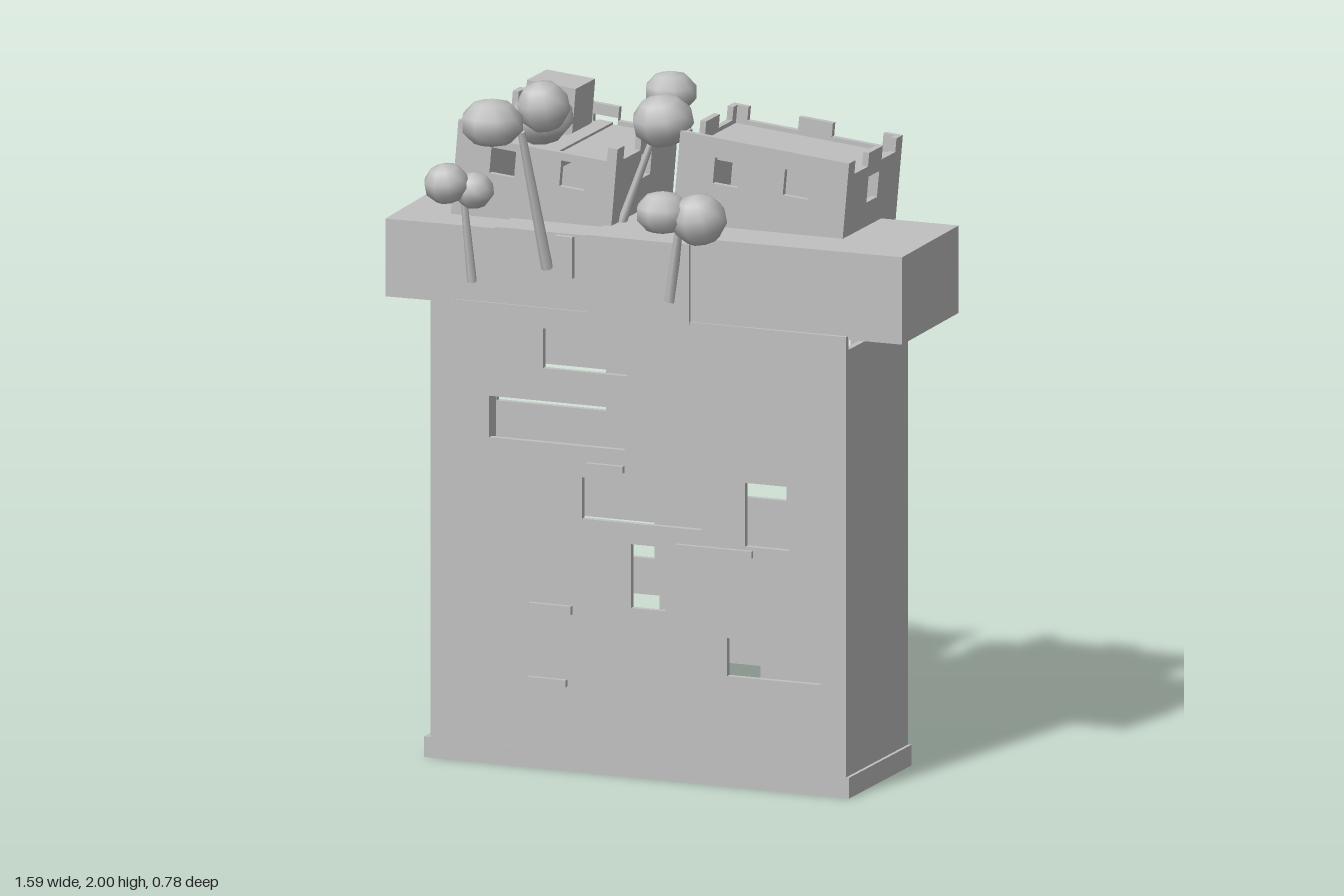
import * as THREE from 'three';
import { mergeVertices } from 'three/addons/utils/BufferGeometryUtils.js';

const stone = new THREE.MeshStandardMaterial({ color: 0xc0c0c0, side: THREE.DoubleSide });
stone.name = 'pale grey';

function add(parent, name, geometry, x = 0, y = 0, z = 0) {
  const mesh = new THREE.Mesh(geometry, stone);
  mesh.name = name;
  mesh.position.set(x, y, z);
  parent.add(mesh);
  return mesh;
}

// Box given by its limits on each axis
function block(parent, name, x0, x1, y0, y1, z0, z1) {
  return add(parent, name, new THREE.BoxGeometry(x1 - x0, y1 - y0, z1 - z0),
    (x0 + x1) / 2, (y0 + y1) / 2, (z0 + z1) / 2);
}

const rect = ([x0, x1, y0, y1]) => [[x0, y0], [x1, y0], [x1, y1], [x0, y1]];

// Upright slab with an outline and polygonal openings
function wallGeometry(outline, openings, depth) {
  const toVec = ([x, y]) => new THREE.Vector2(x, y);
  const shape = new THREE.Shape(outline.map(toVec));
  shape.holes = openings.map(o => new THREE.Path(o.map(toVec)));
  return new THREE.ExtrudeGeometry(shape, { depth, bevelEnabled: false });
}

// Wall outline with notches cut in its top edge, leaving merlons
function crenellated(w, h, notches, drop = 0.04) {
  const pts = [[-w / 2, -h / 2], [w / 2, -h / 2], [w / 2, h / 2]];
  for (const [a, b] of [...notches].reverse())
    pts.push([b * w, h / 2], [b * w, h / 2 - drop], [a * w, h / 2 - drop], [a * w, h / 2]);
  pts.push([-w / 2, h / 2]);
  return pts;
}

// Tilted roofless house: four pierced walls around a sunken roof
function house(parent, name, o) {
  const { w, d, h, t = 0.018 } = o;
  const g = new THREE.Group();
  g.name = name;
  g.position.set(...o.at);
  g.rotation.z = o.tilt;
  parent.add(g);
  const win = (x, y, s = 0.038) => rect([x - s, x + s, y - s, y + s]);
  const wins = list => list.map(([x, y]) => win(x, y));
  add(g, 'houseFrontWall', wallGeometry(crenellated(w, h, o.frontNotches), wins(o.front), t), 0, 0, d / 2 - t);
  add(g, 'houseBackWall', wallGeometry(crenellated(w, h, o.backNotches), wins(o.back), t), 0, 0, -d / 2);
  for (const s of [-1, 1]) {
    const side = add(g, 'houseSideWall',
      wallGeometry(crenellated(d - 2 * t, h, o.sideNotches), wins(o.side), t), s > 0 ? w / 2 - t : -w / 2);
    side.rotation.y = Math.PI / 2;
  }
  add(g, 'houseRoof', new THREE.BoxGeometry(w - 2 * t, 0.015, d - 2 * t), 0, h / 2 - 0.06, 0);
  add(g, 'houseFloor', new THREE.BoxGeometry(w - 2 * t, 0.015, d - 2 * t), 0, -h / 2 + 0.008, 0);
  return g;
}

// Faceted, smoothly shaded leaf ball
function leafBall(parent, [x, y, z, rx, ry], i) {
  let geo = new THREE.SphereGeometry(1, 9, 5);
  geo.deleteAttribute('uv');
  geo.deleteAttribute('normal');
  geo = mergeVertices(geo, 1e-3);
  geo.computeVertexNormals();
  const ball = add(parent, 'foliage', geo, x, y, z);
  ball.scale.set(rx, ry, rx);
  ball.rotation.set(0.12 * (i % 3), i * 0.7, 0.15 * (i % 2));
}

function tree(parent, name, from, to, radius, balls) {
  const g = new THREE.Group();
  g.name = name;
  parent.add(g);
  const a = new THREE.Vector3(...from), b = new THREE.Vector3(...to);
  const dir = b.clone().sub(a);
  const trunk = add(g, 'trunk', new THREE.CylinderGeometry(radius * 0.65, radius, dir.length(), 6));
  trunk.position.copy(a).add(b).multiplyScalar(0.5);
  trunk.quaternion.setFromUnitVectors(new THREE.Vector3(0, 1, 0), dir.normalize());
  balls.forEach((p, i) => leafBall(g, p, i));
}

export function createModel() {
  const model = new THREE.Group();
  model.name = 'towerWithRooftopVillage';

  // Hollow tower slab
  const t = 0.018, outline = rect([-0.645, 0.63, 0, 1.335]);
  const frontOpenings = [
    [-0.30, -0.04, 1.16, 1.275], [-0.465, -0.05, 0.945, 1.065], [-0.18, 0.185, 0.735, 0.855],
    [0.32, 0.455, 0.70, 0.885], [-0.03, 0.075, 0.49, 0.675], [0.265, 0.55, 0.32, 0.43],
  ].map(rect);
  const backOpenings = [
    [0.015, 0.265, 0.735, 0.855], [-0.625, -0.29, 0.945, 1.065], [-0.445, -0.14, 0.53, 0.635],
    [-0.545, -0.125, 0.32, 0.425], [0.018, 0.185, 0.09, 0.25], [0.28, 0.60, 0.09, 0.20],
  ].map(rect);
  backOpenings.push([[0.06, 1.17], [0.21, 1.17], [0.21, 1.13], [0.34, 1.13], [0.34, 1.17], [0.46, 1.17],
    [0.46, 1.265], [0.35, 1.265], [0.35, 1.295], [0.23, 1.295], [0.23, 1.265], [0.06, 1.265]]);
  add(model, 'towerFront', wallGeometry(outline, frontOpenings, t), 0, 0, 0.165 - t);
  add(model, 'towerBack', wallGeometry(outline, backOpenings, t), 0, 0, -0.28);
  block(model, 'towerRightSide', -0.645, -0.645 + t, 0, 1.295, -0.28 + t, 0.165 - t);
  block(model, 'towerLeftSide', 0.63 - t, 0.63, 0, 1.295, -0.28 + t, 0.165 - t);
  block(model, 'plinth', -0.665, 0.64, 0, 0.06, -0.281, 0.166);

  // Thin ledges on both faces
  const ledges = [
    [-0.165, -0.05, 0.88, 0.9, 1], [0.11, 0.345, 0.67, 0.69, 1], [-0.34, -0.21, 0.455, 0.48, 1],
    [-0.345, -0.225, 0.245, 0.265, 1], [-0.165, -0.05, 0.88, 0.9, -1], [0.33, 0.57, 0.67, 0.69, -1],
    [0.22, 0.345, 0.455, 0.48, -1], [-0.19, 0, 0.245, 0.265, -1],
  ];
  for (const [x0, x1, y0, y1, s] of ledges)
    block(model, 'ledge', x0, x1, y0, y1, s > 0 ? 0.16 : -0.293, s > 0 ? 0.178 : -0.275);

  // Overhanging crown of slightly turned blocks
  const leftEnd = block(model, 'crownBlock', -0.79, -0.40, 1.325, 1.55, -0.255, 0.163);
  leftEnd.rotation.y = 0.04;
  block(model, 'crownBlock', -0.45, -0.165, 1.327, 1.555, -0.265, 0.16);
  block(model, 'crownBlock', -0.165, 0.15, 1.327, 1.56, -0.283, 0.17);
  const rightEnd = block(model, 'crownBlock', 0.14, 0.79, 1.325, 1.578, -0.272, 0.154);
  rightEnd.rotation.y = 0.02;
  block(model, 'wallPost', -0.26, -0.205, 1.43, 1.55, 0.15, 0.178);

  // Two leaning houses
  const leftHouse = house(model, 'westHouse', {
    w: 0.49, d: 0.44, h: 0.40, at: [-0.385, 1.605, -0.178], tilt: -0.085,
    front: [[0.115, 0.1], [-0.1, 0.1]], back: [[0.03, 0.13], [0.03, -0.07]], side: [[0, 0.11]],
    frontNotches: [[-0.44, 0.44]], backNotches: [[-0.4, -0.14], [0.14, 0.4]],
    sideNotches: [[-0.42, -0.12], [0.12, 0.42]],
  });
  block(leftHouse, 'chimney', -0.14, 0.01, 0.1, 0.285, -0.15, -0.01);
  block(leftHouse, 'roofRidge', 0.01, 0.055, 0.1, 0.155, -0.2, 0.2);
  house(model, 'eastHouse', {
    w: 0.52, d: 0.385, h: 0.42, at: [0.292, 1.612, -0.19], tilt: -0.09,
    front: [[-0.11, 0.115], [0.105, 0.12]], back: [[0, -0.06]], side: [[0, 0.1]],
    frontNotches: [], backNotches: [[-0.4, -0.1], [0.1, 0.4]],
    sideNotches: [[-0.42, -0.14], [0.14, 0.42]],
  });

  // Trees leaning from the crown
  tree(model, 'tallTree', [-0.287, 1.45, 0.165], [-0.33, 1.86, 0.25], 0.017, [
    [-0.40, 1.89, 0.297, 0.092, 0.07], [-0.28, 1.93, 0.21, 0.078, 0.075], [-0.31, 1.885, 0.155, 0.095, 0.075]]);
  tree(model, 'middleTree', [-0.14, 1.55, -0.02], [-0.045, 1.83, -0.05], 0.014, [
    [-0.03, 1.925, -0.12, 0.077, 0.06], [-0.02, 1.86, -0.04, 0.09, 0.075]]);
  tree(model, 'smallTree', [-0.518, 1.39, 0.165], [-0.535, 1.66, 0.19], 0.014, [
    [-0.60, 1.67, 0.135, 0.052, 0.048], [-0.568, 1.685, 0.232, 0.066, 0.058], [-0.505, 1.66, 0.18, 0.058, 0.052]]);
  tree(model, 'eastTree', [0.09, 1.39, 0.165], [0.13, 1.63, 0.19], 0.017, [
    [0.085, 1.655, 0.205, 0.08, 0.062], [0.188, 1.64, 0.185, 0.08, 0.075]]);

  return model;
}
